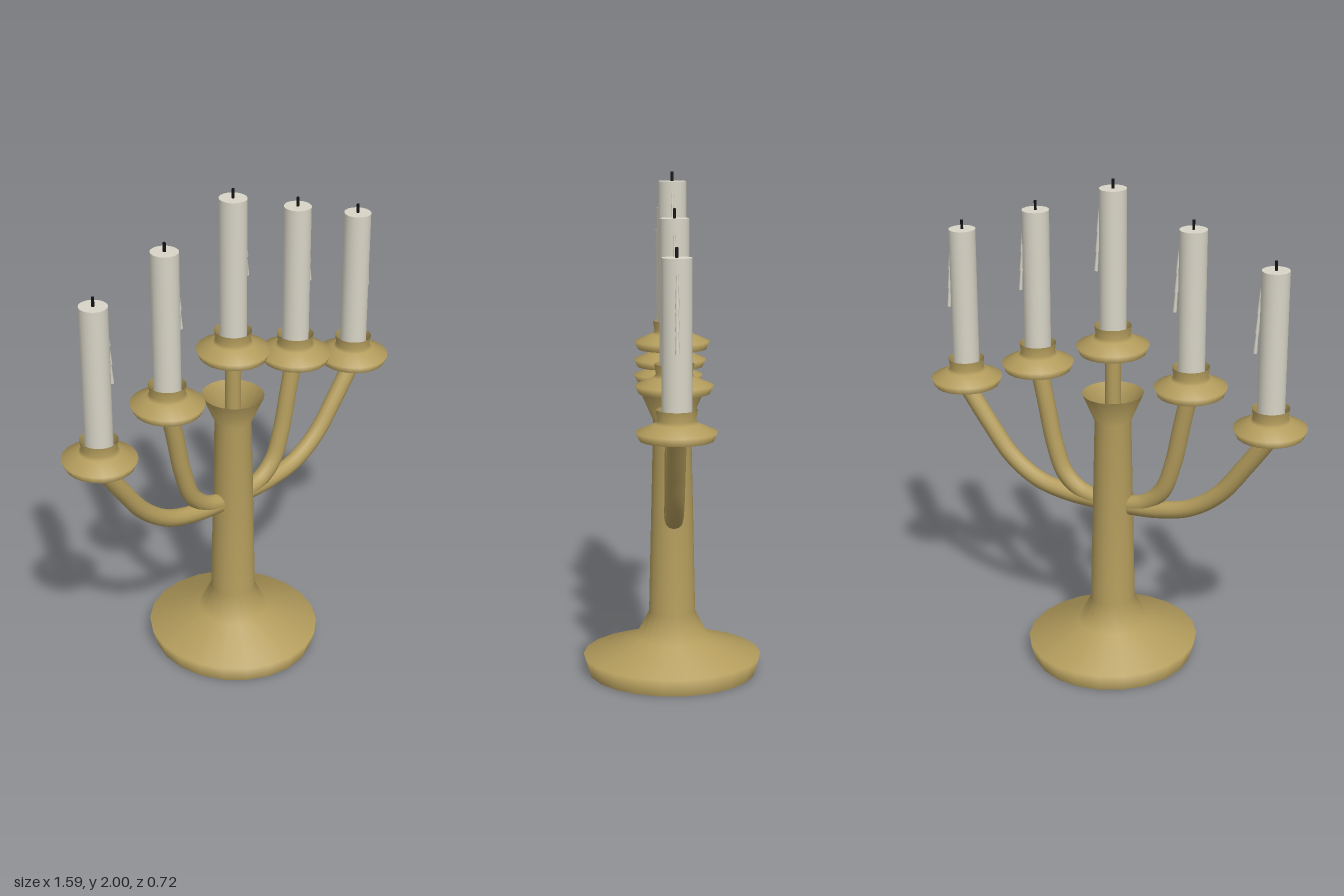
import * as THREE from 'three';

const brass = new THREE.MeshStandardMaterial({ color: 0xb39c5c, side: THREE.DoubleSide });
const wax = new THREE.MeshStandardMaterial({ color: 0xd8d4c6 });
const black = new THREE.MeshStandardMaterial({ color: 0x111111 });

// Round parts are slightly narrower in x than in z
const SQUASH = 0.96;

function part(name, geometry, material, x = 0, y = 0) {
  const mesh = new THREE.Mesh(geometry, material);
  mesh.name = name;
  mesh.position.set(x, y, 0);
  return mesh;
}

function lathe(points) {
  const profile = points.map(([r, y]) => new THREE.Vector2(r, y));
  return new THREE.LatheGeometry(profile, 22).scale(SQUASH, 1, 1);
}

function rod(radius, bottom, top, sides = 20) {
  return new THREE.CylinderGeometry(radius, radius, top - bottom, sides)
    .translate(0, (top + bottom) / 2, 0)
    .scale(SQUASH, 1, 1);
}

// Tapered drip running from a to b, thicker at its lower end
function drip(a, b) {
  const top = new THREE.Vector3(a[0], a[1], 0);
  const bottom = new THREE.Vector3(b[0], b[1], 0);
  const dir = top.clone().sub(bottom);
  const mesh = part('waxDrip', new THREE.CylinderGeometry(0.003, 0.008, dir.length(), 8), wax);
  mesh.position.copy(top).add(bottom).multiplyScalar(0.5);
  mesh.quaternion.setFromUnitVectors(new THREE.Vector3(0, 1, 0), dir.normalize());
  return mesh;
}

// Open drip cup with its candle, wick and wax drips
function candleHolder(x, y) {
  const group = new THREE.Group();
  group.name = 'candleHolder';
  group.position.set(x, y, 0);
  group.add(
    part('dripCup', lathe([[0.135, 0], [0.148, 0.03], [0.08, 0.06], [0.069, 0.072], [0.075, 0.11]]), brass),
    part('candle', rod(0.055, 0.06, 0.65), wax),
    part('wick', rod(0.006, 0.65, 0.686, 8), black)
  );
  for (let i = 0; i < 3; i++) {
    const dx = i * 0.005, dy = 0.61 - i * 0.078;
    group.add(drip([0.051 + dx, dy], [0.061 + dx, dy - 0.135]));
  }
  return group;
}

function arm(name, points, side) {
  const curve = new THREE.CatmullRomCurve3(points.map(([x, y]) => new THREE.Vector3(side * x, y, 0)));
  return part(name, new THREE.TubeGeometry(curve, 40, 0.035, 12), brass);
}

export function createModel() {
  const model = new THREE.Group();
  model.name = 'candelabra';

  // Hollow foot and column with flared mouth
  model.add(part('column', lathe([
    [0.338, 0], [0.358, 0.072], [0.147, 0.145], [0.093, 0.25], [0.075, 1.03], [0.126, 1.145]
  ]), brass));

  // Central stem and candle
  model.add(part('centreStem', rod(0.032, 0.98, 1.345), brass));
  model.add(candleHolder(0, 1.315));

  // Mirrored branches
  const outer = [[0.065, 0.668], [0.2, 0.678], [0.335, 0.712], [0.455, 0.795], [0.56, 0.93], [0.665, 1.08]];
  const inner = [[0.065, 0.675], [0.145, 0.7], [0.215, 0.765], [0.26, 0.89], [0.295, 1.06], [0.325, 1.2]];
  for (const side of [-1, 1]) {
    model.add(arm('outerArm', outer, side), candleHolder(side * 0.655, 1.08));
    model.add(arm('innerArm', inner, side), candleHolder(side * 0.328, 1.195));
  }
  return model;
}
